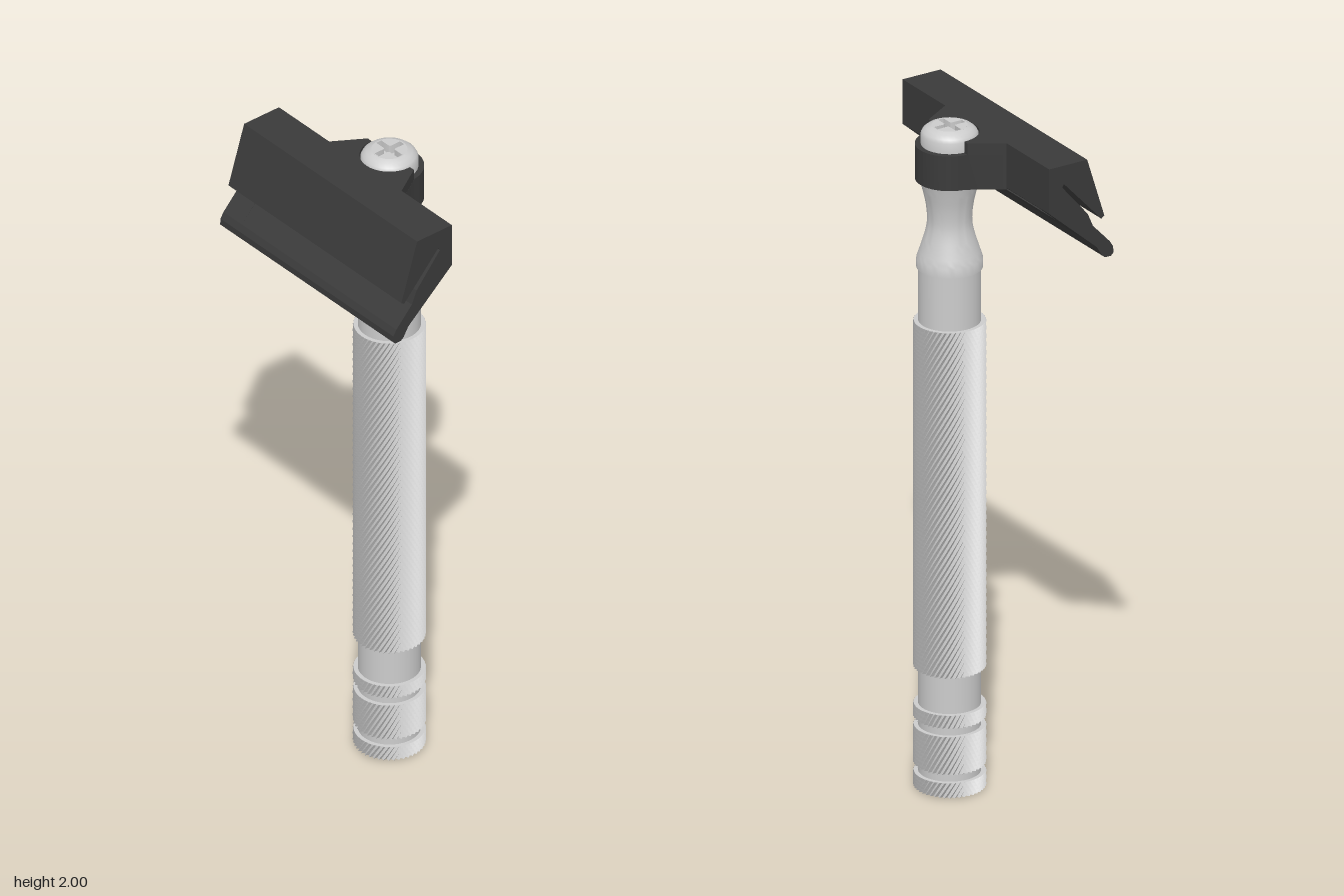
import * as THREE from 'three';
import { toCreasedNormals } from 'three/addons/utils/BufferGeometryUtils.js';

const AXIS = -0.1; // z of the handle axis
const metal = new THREE.MeshStandardMaterial({ color: 0xcccccc });
const knurled = new THREE.MeshStandardMaterial({ color: 0xcccccc, flatShading: true });
const dark = new THREE.MeshStandardMaterial({ color: 0x3a3a3a });

function add(parent, name, geometry, material) {
  const mesh = new THREE.Mesh(geometry, material);
  mesh.name = name;
  parent.add(mesh);
  return mesh;
}

// Lathe from [radius, y] pairs, with hard edges kept
function turned(points, segments = 48) {
  const g = new THREE.LatheGeometry(points.map(p => new THREE.Vector2(...p)), segments);
  return toCreasedNormals(g, 0.5);
}

// Side profile of [z, y] pairs, extruded from x0 to x1
function slice(points, x0, x1) {
  const shape = new THREE.Shape(points.map(([z, y]) => new THREE.Vector2(-z, y)));
  const g = new THREE.ExtrudeGeometry(shape, { depth: x1 - x0, bevelEnabled: false });
  return g.rotateY(Math.PI / 2).translate(x0, 0, 0);
}

// Plan shape (x, -z), extruded upward from y0 to y1
function slab(shape, y0, y1) {
  const g = new THREE.ExtrudeGeometry(shape, { depth: y1 - y0, bevelEnabled: false, curveSegments: 32 });
  return toCreasedNormals(g.rotateX(-Math.PI / 2).translate(0, y0, 0), 0.5);
}

// Diamond knurl: alternate vertices of a cylinder grid are pushed out and in
function knurl(y0, y1) {
  const around = 88;
  const rows = Math.max(3, Math.round((y1 - y0) / 0.0125));
  const g = new THREE.CylinderGeometry(0.1, 0.1, y1 - y0, around, rows);
  const p = g.attributes.position;
  for (let j = 0; j <= rows; j++) {
    for (let i = 0; i <= around; i++) {
      const k = j * (around + 1) + i;
      const s = ((i + j) % 2 ? 0.093 : 0.102) / 0.1;
      p.setX(k, p.getX(k) * s);
      p.setZ(k, p.getZ(k) * s);
    }
  }
  return g.translate(0, (y0 + y1) / 2, 0);
}

// Cross outline with arms of length a and half width w
function crossPath(a, w) {
  const path = new THREE.Path();
  const r = w * 1.7;
  path.moveTo(a, -w);
  for (let i = 0; i < 4; i++) {
    const c = Math.round(Math.cos(i * Math.PI / 2)), s = Math.round(Math.sin(i * Math.PI / 2));
    const at = (x, y) => [c * x - s * y, s * x + c * y];
    path.lineTo(...at(a, -w));
    path.lineTo(...at(a, w));
    path.lineTo(...at(r, w));
    path.quadraticCurveTo(...at(w, w), ...at(w, r));
  }
  path.closePath();
  return path;
}

function makeHandle() {
  const handle = new THREE.Group();
  handle.name = 'handle';
  // Smooth core with the collar and waisted neck
  const neck = new THREE.SplineCurve([
    [0.093, 1.6], [0.08, 1.64], [0.067, 1.685], [0.063, 1.72], [0.067, 1.765], [0.077, 1.81], [0.085, 1.84],
  ].map(p => new THREE.Vector2(...p))).getPoints(20).map(v => [v.x, v.y]);
  add(handle, 'core', turned([
    [0, 0.005], [0.088, 0.005], [0.088, 1.57], [0.093, 1.572], ...neck, [0.085, 1.845], [0, 1.845],
  ]), metal);
  // Knurled grip and end rings
  add(handle, 'grip', knurl(0.362, 1.41), knurled);
  for (const [y0, y1] of [[0, 0.045], [0.07, 0.185], [0.21, 0.25]]) {
    add(handle, 'knurledRing', knurl(y0, y1), knurled);
  }
  handle.position.z = AXIS;
  return handle;
}

function makeHead() {
  const head = new THREE.Group();
  head.name = 'head';
  const cap = [[-0.013, 1.98], [0.113, 1.98], [0.17, 1.797], [0.16, 1.79], [0.036, 1.924], [0.03, 1.915]];
  const plate = [[0.115, 1.815], [0.132, 1.775]];
  const lip = [[0.188, 1.715], [0.199, 1.697], [0.2, 1.678], [0.192, 1.67], [0.172, 1.67], [0.162, 1.678], [0.145, 1.707]];
  const back = [-0.013, 1.845];

  // Solid cheeks at both ends, slotted section between them
  for (const [x0, x1] of [[-0.375, -0.295], [0.295, 0.375]]) {
    add(head, 'cheek', slice([...cap, ...plate, ...lip, back], x0, x1), dark);
  }
  add(head, 'cap', slice([...cap, plate[0], [0.023, 1.815], back], -0.295, 0.295), dark);
  add(head, 'lowerBar', slice([[0.14, 1.765], ...lip, [0.08, 1.765]], -0.295, 0.295), dark);

  // Mounting lug tapering to a round end around the handle axis
  const lug = new THREE.Shape();
  lug.moveTo(-0.157, 0.013);
  lug.lineTo(0.157, 0.013);
  lug.lineTo(0.096, 0.112);
  lug.absarc(0, -AXIS, 0.097, 0.12, Math.PI - 0.12, false);
  lug.closePath();
  add(head, 'lug', slab(lug, 1.84, 1.945), dark);

  // Raised shoulder with a round pocket for the screw
  const shoulder = new THREE.Shape();
  shoulder.moveTo(-0.157, 0.013);
  shoulder.lineTo(0.157, 0.013);
  shoulder.lineTo(0.1, 0.105);
  shoulder.lineTo(0.083, 0.105);
  shoulder.absarc(0, -AXIS, 0.083, 0, Math.PI, true);
  shoulder.lineTo(-0.083, 0.105);
  shoulder.lineTo(-0.1, 0.105);
  shoulder.closePath();
  add(head, 'shoulder', slab(shoulder, 1.945, 1.98), dark);
  return head;
}

function makeScrew() {
  const screw = new THREE.Group();
  screw.name = 'screw';
  // Domed rim, flat centre with a cross recess, and the recess floor
  add(screw, 'rim', turned([
    [0, 1.944], [0.081, 1.944], [0.081, 1.975], [0.076, 1.985], [0.065, 1.994], [0.05, 2],
  ], 32), metal);
  const top = new THREE.Shape().absarc(0, 0, 0.05, 0, Math.PI * 2, false);
  top.holes.push(crossPath(0.046, 0.009));
  add(screw, 'centre', slab(top, 1.96, 2), metal);
  add(screw, 'recessFloor', new THREE.CylinderGeometry(0.05, 0.05, 0.02, 32).translate(0, 1.962, 0), metal);
  screw.position.z = AXIS;
  return screw;
}

export function createModel() {
  const model = new THREE.Group();
  model.name = 'safetyRazor';
  model.add(makeHandle(), makeHead(), makeScrew());
  return model;
}
